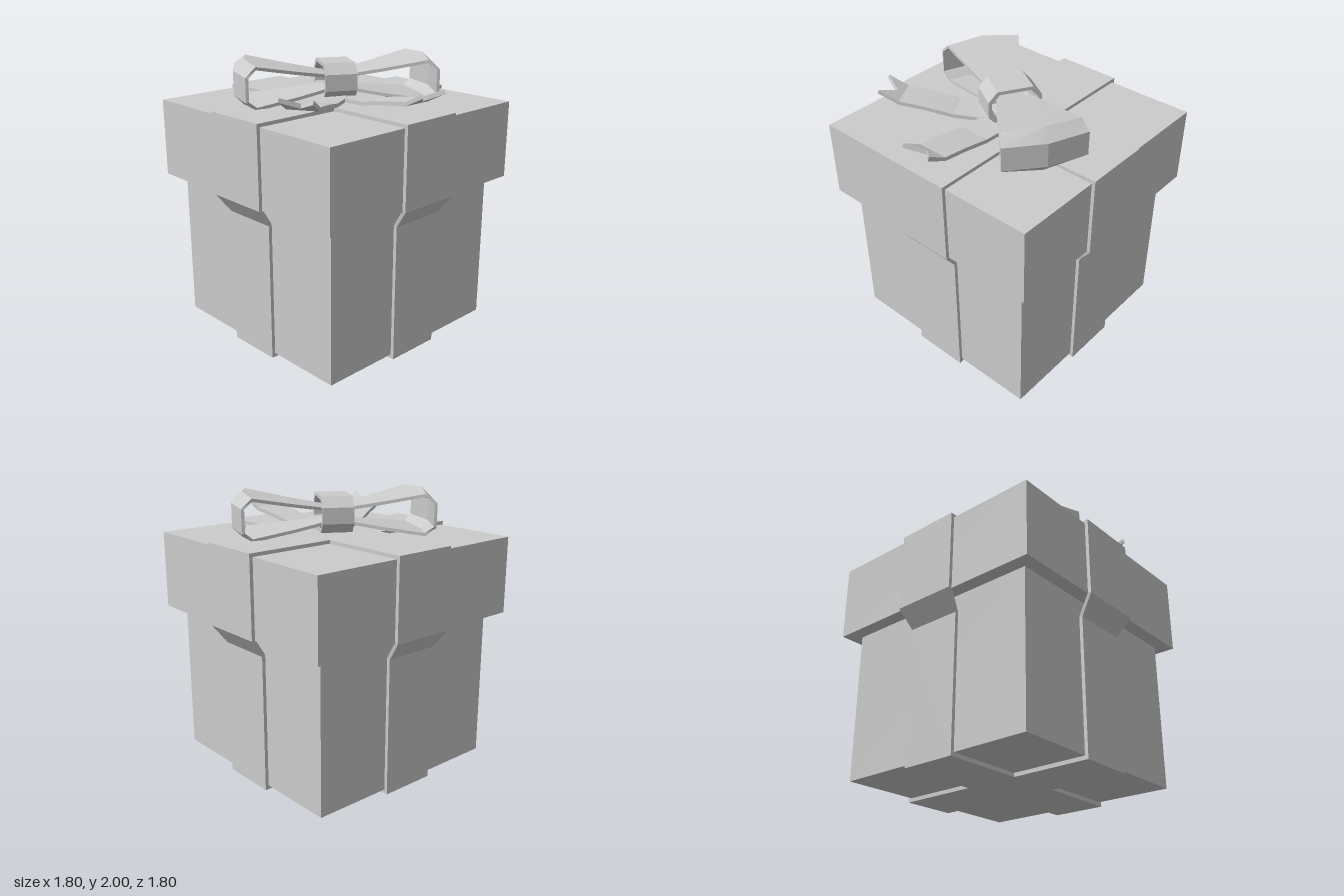
import * as THREE from 'three';
import { toCreasedNormals } from 'three/addons/utils/BufferGeometryUtils.js';

const material = new THREE.MeshStandardMaterial({ color: 0xcccccc, side: THREE.DoubleSide });

function add(parent, name, geometry) {
  const mesh = new THREE.Mesh(geometry, material);
  mesh.name = name;
  parent.add(mesh);
  return mesh;
}

// Skins a row of equal-sized point rings; a ring lists its outer side, then its inner side backwards.
function loft(rings, closed, crease) {
  const n = rings[0].length;
  const tris = [];
  const quad = (a, b, c, d) => tris.push([a, b, c], [a, c, d]);
  const last = closed ? rings.length : rings.length - 1;
  for (let i = 0; i < last; i++) {
    const p = rings[i], q = rings[(i + 1) % rings.length];
    for (let j = 0; j < n; j++) {
      const k = (j + 1) % n;
      quad(p[j], p[k], q[k], q[j]);
    }
  }
  if (!closed) {
    const p = rings[0], q = rings[rings.length - 1];
    for (let j = 0; j < n / 2 - 1; j++) {
      const a = j + 1, b = n - 2 - j, c = n - 1 - j;
      quad(p[j], p[c], p[b], p[a]);
      quad(q[j], q[a], q[b], q[c]);
    }
  }
  // Turn every face outwards if the solid came out inverted
  let volume = 0;
  for (const [a, b, c] of tris) volume += a.dot(b.clone().cross(c));
  if (volume < 0) tris.forEach((t) => t.reverse());
  const geometry = new THREE.BufferGeometry().setFromPoints(tris.flat());
  geometry.computeVertexNormals();
  return toCreasedNormals(geometry, crease);
}

const V = (x, y, z) => new THREE.Vector3(x, y, z);

// Ribbon wrapped all round the box: [outer r, outer y, inner r, inner y, half width]
function bandGeometry() {
  const side = [
    [0.8, 0, 0.775, 0.028, 0.205],
    [0.8, 0.985, 0.775, 0.995, 0.205],
    [0.9, 1.12, 0.875, 1.13, 0.237],
    [0.9, 1.7, 0.875, 1.675, 0.237],
  ];
  const mirrored = side.map(([r, y, s, t, w]) => [-r, y, -s, t, w]).reverse();
  const rings = [...side, ...mirrored].map(([r, y, s, t, w]) =>
    [V(r, y, -w), V(r, y, w), V(s, t, w), V(s, t, -w)]);
  return loft(rings, true, 0.1);
}

// Bow loop: [x, y, half width, centre bulge x, centre bulge y]
function loopGeometry() {
  const path = [
    [0.07, 1.885, 0.12, 0, 0],
    [0.3, 1.925, 0.18, 0.02, 0.008],
    [0.6, 1.985, 0.265, 0.045, 0.015],
    [0.675, 1.92, 0.29, 0.045, 0],
    [0.675, 1.75, 0.29, 0.045, 0],
    [0.6, 1.69, 0.265, 0.045, -0.013],
    [0.3, 1.73, 0.18, 0.02, -0.006],
    [0.07, 1.77, 0.12, 0, 0],
  ];
  const thick = 0.022;
  const rings = path.map(([x, y, w, bx, by], i) => {
    const a = path[Math.max(i - 1, 0)], b = path[Math.min(i + 1, path.length - 1)];
    const inward = V(b[1] - a[1], a[0] - b[0], 0).setLength(thick);
    const outer = [V(x, y, -w), V(x + bx, y + by, 0), V(x, y, w)];
    return [...outer, ...outer.map((p) => p.clone().add(inward)).reverse()];
  });
  return loft(rings, false, 0.3);
}

// Loose ribbon end with a swallowtail notch: [z, top y]
function tailGeometry() {
  const path = [[0, 1.75], [0.2, 1.735], [0.37, 1.74], [0.57, 1.775], [0.75, 1.797], [0.885, 1.87]];
  const left = -0.1, right = 0.125, thick = 0.027;
  const rings = path.map(([z, y], i) => {
    const tip = i === path.length - 1;
    const top = [V(left, y, z), V(0.0125, tip ? 1.82 : y, tip ? 0.788 : z), V(right, y, z)];
    const under = top.map((p) => V(p.x, p.y - thick, p.z + (tip ? 0.012 : 0))).reverse();
    return [...top, ...under];
  });
  return loft(rings, false, 0.1);
}

// Octagonal sleeve around the middle of the bow
function knotGeometry() {
  const octagon = (w, h, cw, ch) => [
    [w - cw, h], [w, h - ch], [w, ch - h], [w - cw, -h],
    [cw - w, -h], [-w, ch - h], [-w, h - ch], [cw - w, h],
  ].map(([x, y]) => new THREE.Vector2(x, y));
  const shape = new THREE.Shape(octagon(0.188, 0.127, 0.062, 0.07));
  shape.holes.push(new THREE.Path(octagon(0.164, 0.103, 0.055, 0.06)));
  const geometry = new THREE.ExtrudeGeometry(shape, { depth: 0.224, bevelEnabled: false });
  return geometry.translate(0, 0, -0.112).rotateY(Math.PI / 2).translate(0, 1.838, 0);
}

export function createModel() {
  const model = new THREE.Group();
  model.name = 'giftBox';

  // Box and lid
  add(model, 'box', new THREE.BoxGeometry(1.55, 1.095, 1.55).translate(0, 0.5755, 0));
  add(model, 'lid', new THREE.BoxGeometry(1.75, 0.555, 1.75).translate(0, 1.3975, 0));

  // Two crossing ribbons
  const band = bandGeometry();
  add(model, 'ribbonAcross', band);
  add(model, 'ribbonFrontToBack', band).rotation.y = Math.PI / 2;

  // Bow, set at an angle on the lid
  const bow = new THREE.Group();
  bow.name = 'bow';
  bow.rotation.y = -Math.PI / 6;
  model.add(bow);
  const loop = loopGeometry();
  add(bow, 'leftLoop', loop);
  add(bow, 'rightLoop', loop).rotation.y = Math.PI;
  add(bow, 'knot', knotGeometry());

  // Ribbon tails
  const tail = tailGeometry();
  add(model, 'frontTail', tail);
  add(model, 'sideTail', tail).rotation.y = -Math.PI / 3;

  return model;
}
